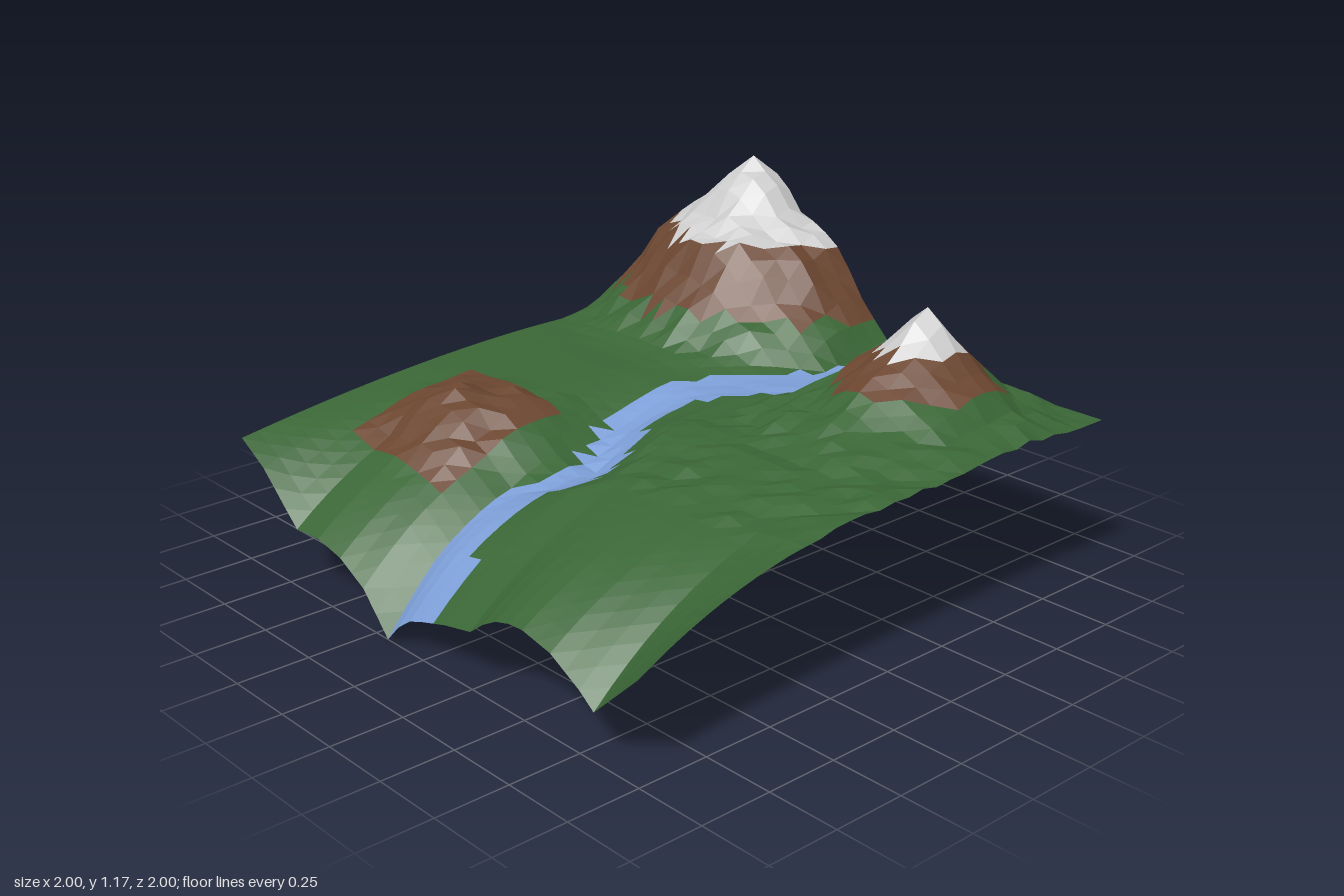
import * as THREE from 'three';

const N = 32, PLAIN = 0.56;

// Piecewise-linear lookup through [key, value] pairs
function lookup(table, t) {
  if (t <= table[0][0]) return table[0][1];
  for (let i = 1; i < table.length; i++) {
    const [k0, v0] = table[i - 1], [k1, v1] = table[i];
    if (t <= k1) return v0 + (v1 - v0) * (t - k0) / (k1 - k0);
  }
  return table[table.length - 1][1];
}

// Height of the scalloped front edge against x
const frontEdge = [[-1, 0.44], [-0.88, 0.375], [-0.81, 0.315], [-0.69, 0.21], [-0.56, 0.218], [-0.44, 0.195],
  [-0.31, 0.13], [-0.1875, 0], [-0.125, 0.065], [-0.06, 0.11], [0, 0.13], [0.125, 0.165], [0.25, 0.19],
  [0.31, 0.235], [0.375, 0.27], [0.44, 0.287], [0.5, 0.29], [0.625, 0.265], [0.75, 0.2], [0.8125, 0.155], [1, 0.33]];
// Peak heights against distance from the summit
const bigPeak = [[0, 1.17], [0.06, 1.125], [0.13, 1.08], [0.18, 1.02], [0.23, 0.97], [0.31, 0.925], [0.37, 0.9],
  [0.5, 0.735], [0.56, 0.675], [0.68, 0.585], [0.8, PLAIN]];
const smallPeak = [[0, 0.92], [0.06, 0.875], [0.09, 0.82], [0.13, 0.785], [0.19, 0.735], [0.25, 0.68],
  [0.31, 0.63], [0.42, 0.59], [0.5, PLAIN]];
// River banks and carved depth against z
const bankLeft = [[-1, 0.14], [-0.8, 0.1], [-0.65, 0.04], [-0.5, -0.06], [-0.4, -0.17], [-0.25, -0.24],
  [0.05, -0.25], [0.2, -0.17], [0.3, -0.125], [0.42, -0.13], [0.5, -0.19], [1, -0.19]];
const bankRight = [[-1, 0.43], [-0.8, 0.37], [-0.65, 0.32], [-0.5, 0.19], [-0.4, 0.12], [-0.25, 0.0],
  [-0.12, -0.06], [0.02, -0.06], [0.12, 0], [0.3, 0.06], [0.4, 0.09], [0.5, 0.03], [0.6, 0], [0.8, 0], [0.86, 0.06], [1, 0.06]];
const riverDepth = [[-1, 0.003], [-0.4, 0.01], [-0.2, 0.03], [0, 0.08], [0.15, 0.115], [0.25, 0.13],
  [0.45, 0.085], [0.6, 0.04], [0.8, 0]];

// Repeatable noise in -1..1
function noise(i, j) {
  const s = Math.sin(i * 127.1 + j * 311.7) * 43758.5453;
  return 2 * (s - Math.floor(s)) - 1;
}

// Distances from the summits, stretched by side because the slopes are uneven
function bigDistance(x, z) {
  const dx = x + 0.5625;
  return Math.hypot(dx * (dx < 0 ? 1.08 : 1), (z + 0.9375) * 1.2);
}
function smallDistance(x, z) {
  const dz = z + 0.625;
  return Math.hypot(x - 0.5625, dz * (dz > 0 ? 0.77 : 1.2));
}
const inHill = (x, z) => Math.abs(x + 0.5625) < 0.25 && Math.abs(z - 0.4375) < 0.25;

function height(x, z) {
  const { clamp } = THREE.MathUtils;
  const rBig = bigDistance(x, z), rSmall = smallDistance(x, z);
  const rHill = Math.hypot(x + 0.5625, z - 0.4375);
  // Distance outside the nearest river bank, and from the deepest line of the bed
  const l = lookup(bankLeft, z), r = lookup(bankRight, z);
  const bank = Math.max(0, l - x, x - r);
  const fromBed = Math.max(0, Math.abs(x - l - 0.07) - 0.03);

  // Plain with the land falling away towards the front edge, more evenly at the far left
  const power = lookup([[-1, 1.8], [-0.7, 3]], x);
  const fall = Math.pow(Math.max(0, (z + 0.3) / 1.3), power);
  let y = PLAIN - (PLAIN - lookup(frontEdge, x)) * fall;
  // Mountains, kept clear of the river bed
  y += (lookup(bigPeak, rBig) + lookup(smallPeak, rSmall) - 2 * PLAIN) * clamp(bank / 0.1, 0.05, 1);
  // Low rocky hill and V-shaped river valley
  y += 0.1 * Math.max(0, 1 - rHill / 0.28);
  y -= lookup(riverDepth, z) * clamp(1 - fromBed / 0.22, 0, 1);

  // Rough ground on the slopes, the hill and the right-hand meadow
  let rough = 0;
  if (bank === 0) rough = 0.004 * clamp(1 - z, 0, 1);
  else if (rBig < 0.65) rough = 0.02 * Math.min(1, rBig / 0.2);
  else if (rSmall < 0.45) rough = 0.016 * Math.min(1, rSmall / 0.2);
  else if (inHill(x, z)) rough = 0.02 * Math.min(1, rHill / 0.1);
  else if (x > 0.1 && z > -0.3 && z < 0.4) rough = 0.011;
  return y + rough * noise(Math.round(x * 16), Math.round(z * 16));
}

// Ground cover of one triangle from its centre
function cover(x, y, z, cellZ) {
  if (x > lookup(bankLeft, cellZ) && x < lookup(bankRight, cellZ)) return 'river';
  if (inHill(x, z)) return 'rock';
  const small = smallDistance(x, z) < 0.4;
  if (y > (small ? 0.785 : 0.905)) return 'snow';
  return y > 0.685 ? 'rock' : 'grass';
}

export function createModel() {
  const group = new THREE.Group();
  group.name = 'landscape';
  const colors = { grass: 0x3a6636, rock: 0x6b4630, snow: 0xcccccc, river: 0x7d9fd8 };
  const lists = { grass: [], rock: [], snow: [], river: [] };
  const point = (i, j) => {
    const x = -1 + 2 * i / N, z = -1 + 2 * j / N;
    return [x, Math.max(0, height(x, z)), z];
  };

  // Two triangles per grid cell, sorted by ground cover
  for (let j = 0; j < N; j++) {
    for (let i = 0; i < N; i++) {
      const a = point(i, j), b = point(i, j + 1), c = point(i + 1, j + 1), d = point(i + 1, j);
      const cellZ = -1 + 2 * (j + 0.5) / N;
      for (const tri of [[a, b, d], [b, c, d]]) {
        const [x, y, z] = [0, 1, 2].map(k => (tri[0][k] + tri[1][k] + tri[2][k]) / 3);
        lists[cover(x, y, z, cellZ)].push(...tri.flat());
      }
    }
  }

  for (const name of Object.keys(lists)) {
    const geometry = new THREE.BufferGeometry();
    geometry.setAttribute('position', new THREE.Float32BufferAttribute(lists[name], 3));
    geometry.computeVertexNormals();
    const material = new THREE.MeshStandardMaterial({ color: colors[name], flatShading: true, side: THREE.DoubleSide });
    const mesh = new THREE.Mesh(geometry, material);
    mesh.name = name;
    group.add(mesh);
  }
  return group;
}
